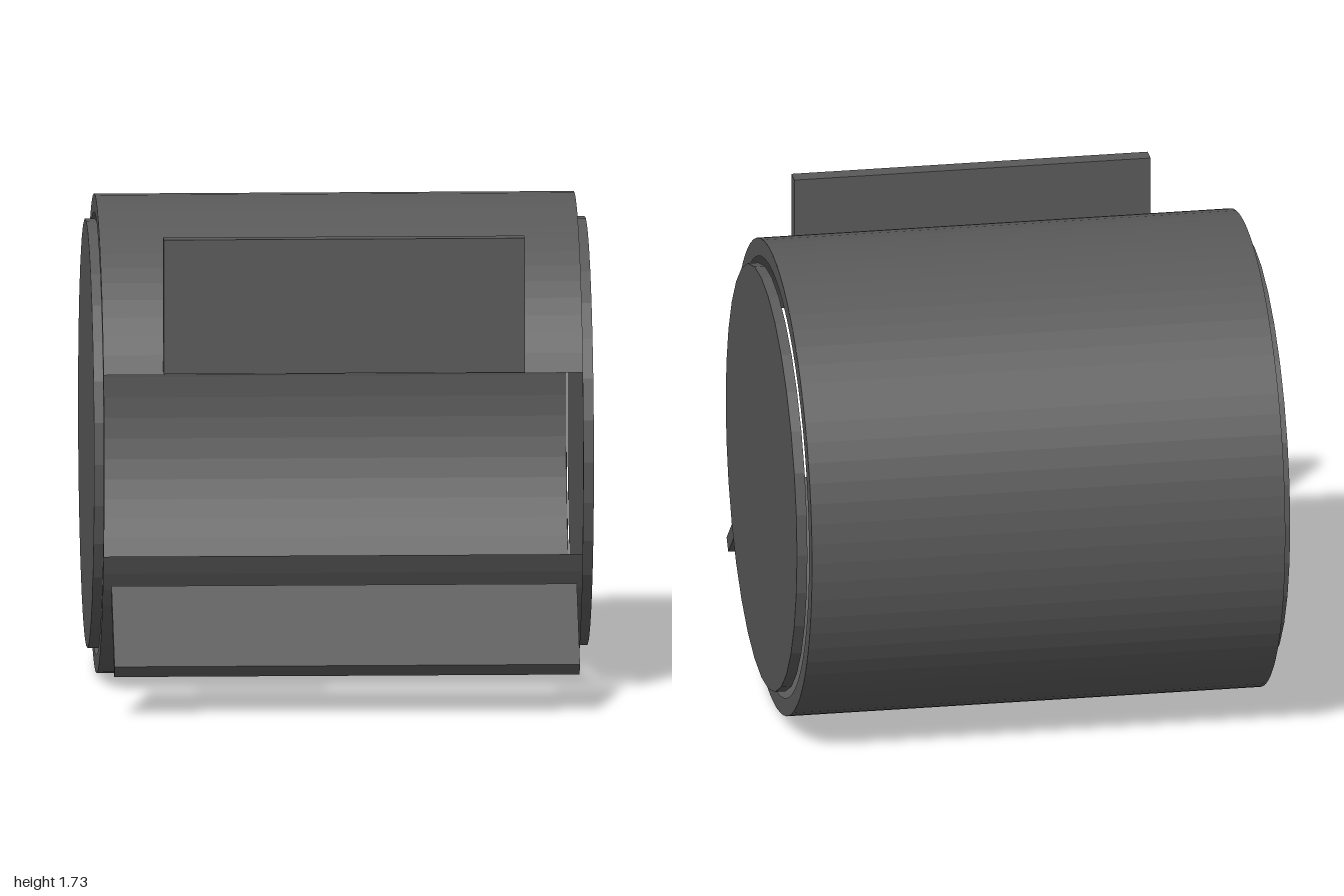
import * as THREE from 'three';

const RADIUS = 0.863;
const CENTRE_Y = 0.864;
const CENTRE_Z = -0.135;

export function createModel() {
  const model = new THREE.Group();
  model.name = 'drum';
  const dark = new THREE.MeshStandardMaterial({ color: 0x595959, flatShading: true });
  const thin = new THREE.MeshStandardMaterial({
    color: 0x595959, flatShading: true, side: THREE.DoubleSide });

  const add = (parent, name, geometry, x, y, z, material = dark) => {
    const mesh = new THREE.Mesh(geometry, material);
    mesh.name = name;
    mesh.position.set(x, y, z);
    parent.add(mesh);
    return mesh;
  };

  // Horizontal drum body
  const body = new THREE.Group();
  body.name = 'drumBody';
  body.position.set(0, CENTRE_Y, CENTRE_Z);
  model.add(body);

  // Thin curved shell with a 45 degree opening facing the front
  const shell = new THREE.CylinderGeometry(
    RADIUS, RADIUS, 1.727, 64, 1, true, Math.PI / 8, Math.PI * 1.75);
  shell.rotateZ(Math.PI / 2);
  add(body, 'shell', shell, -0.0035, 0, 0, thin);

  // Flat rim rings closing the shell ends
  const ring = new THREE.RingGeometry(0.798, RADIUS, 64);
  ring.rotateY(Math.PI / 2);
  add(body, 'leftRim', ring, 0.86, 0, 0, thin);
  add(body, 'rightRim', ring, -0.867, 0, 0, thin);

  // End discs, separated from the rims by a narrow gap
  const disc = new THREE.CylinderGeometry(0.773, 0.773, 0.038, 32);
  disc.rotateZ(Math.PI / 2);
  add(body, 'leftEndDisc', disc, 0.881, 0, 0);
  add(body, 'rightEndDisc', disc, -0.881, 0, 0);

  // Upright plate above the opening
  add(model, 'upperPlate', new THREE.BoxGeometry(1.3, 0.488, 0.062), -0.002, 1.448, 0.68);

  // Sloping tray below the opening
  const tray = add(model, 'lowerTray', new THREE.BoxGeometry(1.676, 0.055, 0.388), -0.002, 0.287, 0.834);
  tray.rotation.x = THREE.MathUtils.degToRad(40);

  return model;
}
